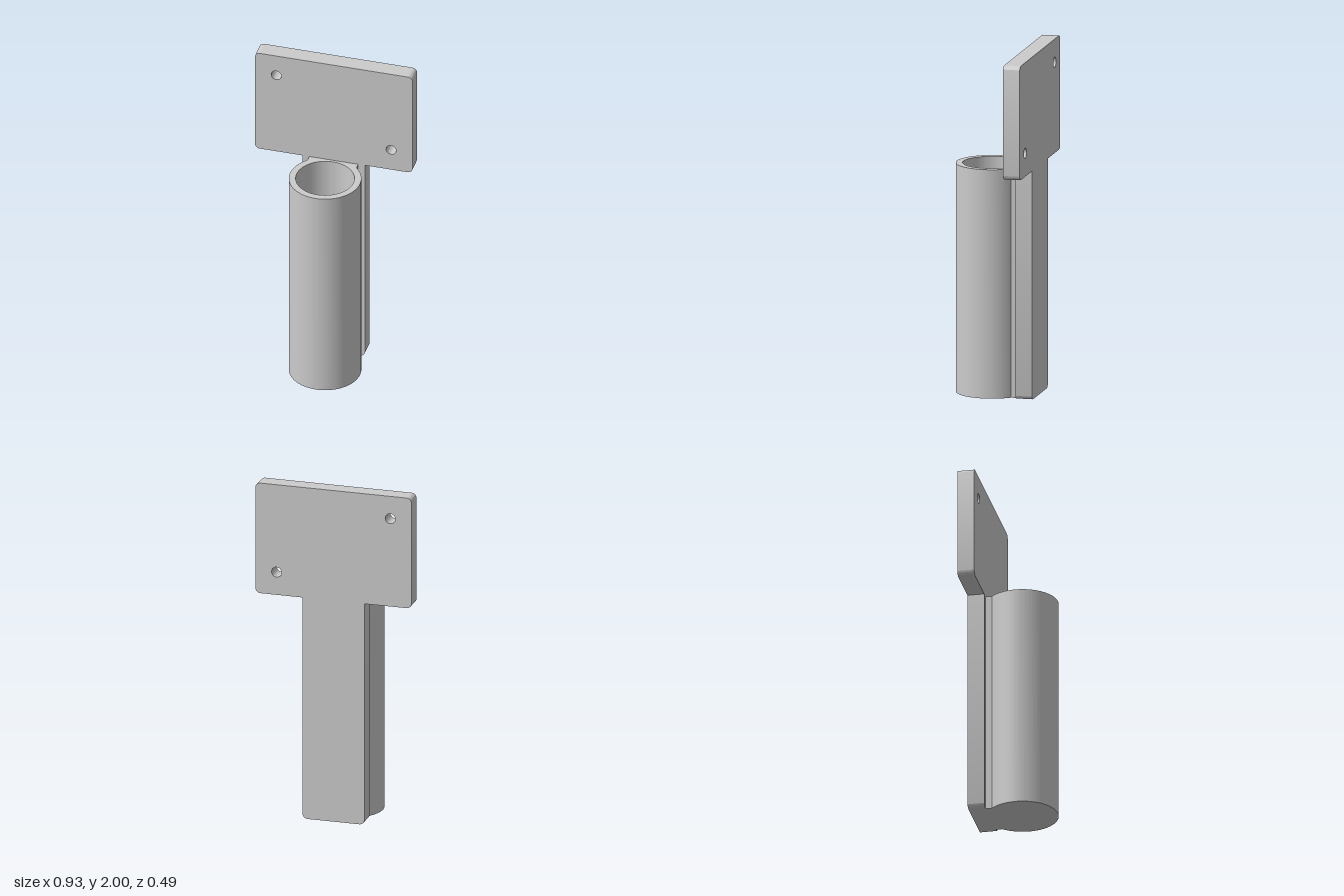
import * as THREE from 'three';
import { toCreasedNormals } from 'three/addons/utils/BufferGeometryUtils.js';

const material = new THREE.MeshStandardMaterial({ color: 0xcccccc });

const TUBE = { z: 0.037, outer: 0.207, inner: 0.168, height: 1.335, floor: 0.04 };
const PLATE = { back: -0.245, depth: 0.098, half: 0.467, top: 2, corner: 0.03 };
const STEM_HALF = 0.185;
const WEB_HALF = 0.145;

function addMesh(group, name, geometry) {
  const mesh = new THREE.Mesh(geometry, material);
  mesh.name = name;
  group.add(mesh);
  return mesh;
}

function extrude(shape, depth) {
  const geometry = new THREE.ExtrudeGeometry(shape, { depth, bevelEnabled: false, curveSegments: 64 });
  return toCreasedNormals(geometry, 0.5);
}

function circleHole(x, y, radius) {
  return new THREE.Path().absarc(x, y, radius, 0, Math.PI * 2, true);
}

// T-shaped outline: wide plate on a narrower stem, outer corners rounded
function backplateShape() {
  const { half: w, top, corner: r } = PLATE;
  const s = STEM_HALF, b = TUBE.height, q = Math.PI / 2;
  const shape = new THREE.Shape();
  shape.moveTo(-s + r, 0);
  shape.absarc(s - r, r, r, -q, 0);
  shape.lineTo(s, b);
  shape.absarc(w - r, b + r, r, -q, 0);
  shape.absarc(w - r, top - r, r, 0, q);
  shape.absarc(-w + r, top - r, r, q, 2 * q);
  shape.absarc(-w + r, b + r, r, 2 * q, 3 * q);
  shape.lineTo(-s, b);
  shape.absarc(-s + r, r, r, 2 * q, 3 * q);
  shape.holes.push(circleHole(-0.34, 1.865, 0.03), circleHole(0.34, 1.472, 0.03));
  return shape;
}

// Horizontal section of the tube with its flat web; shape y is world -z
function holderShape() {
  const a = Math.acos(WEB_HALF / TUBE.outer);
  const joint = -(PLATE.back + PLATE.depth);
  const shape = new THREE.Shape();
  shape.moveTo(WEB_HALF, joint);
  shape.lineTo(-WEB_HALF, joint);
  shape.absarc(0, -TUBE.z, TUBE.outer, Math.PI - a, Math.PI * 2 + a, false);
  shape.closePath();
  shape.holes.push(circleHole(0, -TUBE.z, TUBE.inner));
  return shape;
}

export function createModel() {
  const model = new THREE.Group();
  model.name = 'tubeHolder';

  // Mounting plate and stem in one flat piece
  addMesh(model, 'backplate', extrude(backplateShape(), PLATE.depth)).position.z = PLATE.back;

  // Open-topped tube joined to the stem by the web
  addMesh(model, 'tube', extrude(holderShape(), TUBE.height).rotateX(-Math.PI / 2));

  // Closed bottom of the tube
  const floor = new THREE.CylinderGeometry(TUBE.inner, TUBE.inner, TUBE.floor, 128);
  addMesh(model, 'tubeFloor', floor).position.set(0, TUBE.floor / 2, TUBE.z);

  return model;
}
